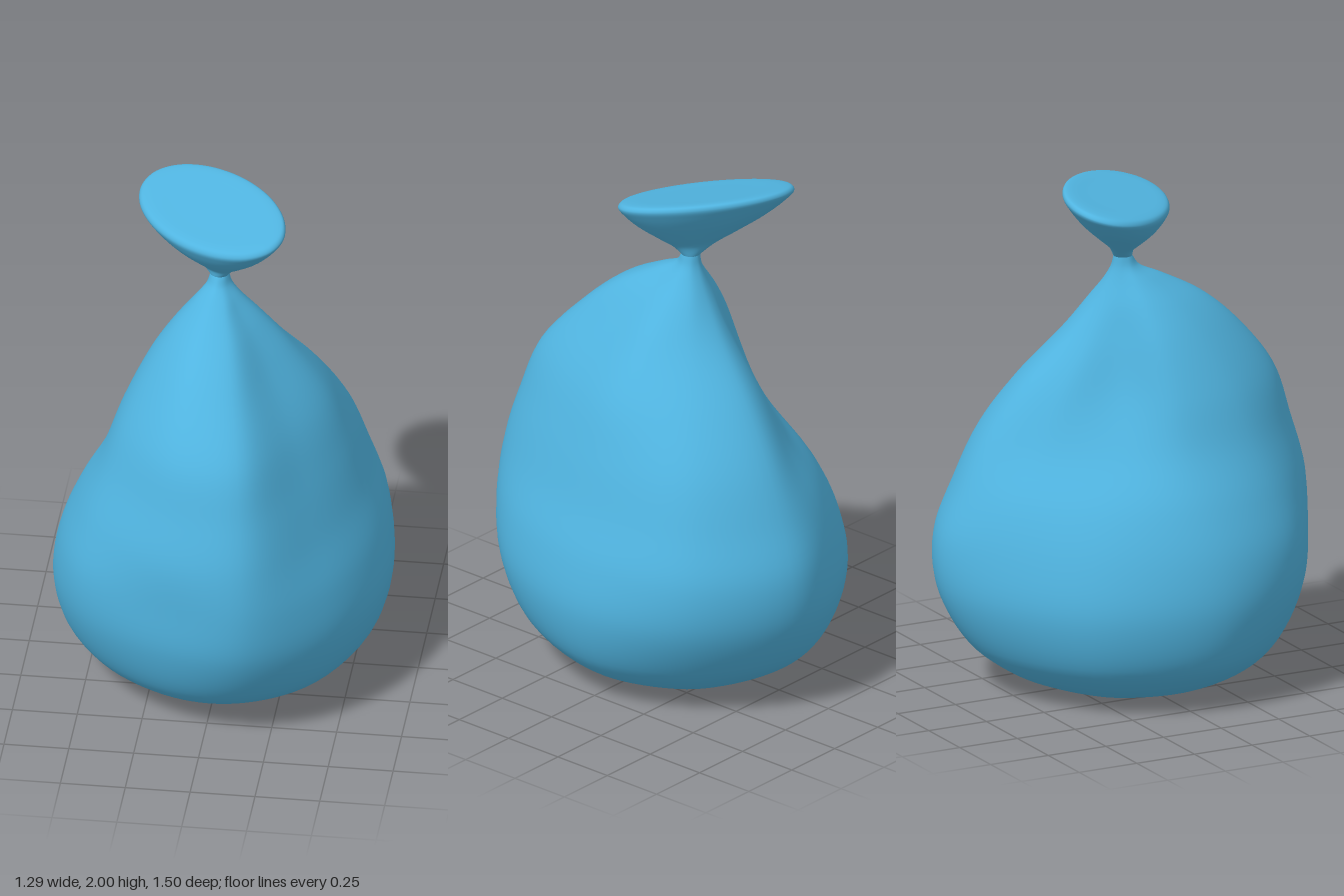
import * as THREE from 'three';

const COLS = 72;
const AXIS_X = -0.02, AXIS_Z = -0.035;

// Smooth skin through a stack of closed cross-sections, listed bottom to top
function skin(name, sections, material, steps = 6) {
  const loops = sections.map((pts) => {
    const curve = new THREE.CatmullRomCurve3(pts, true, 'centripetal');
    return Array.from({ length: COLS }, (_, i) => curve.getPoint(i / COLS));
  });
  const rows = (sections.length - 1) * steps;
  const position = [], index = [];
  const columns = Array.from({ length: COLS }, (_, i) =>
    new THREE.CatmullRomCurve3(loops.map((l) => l[i]), false, 'centripetal'));
  for (let r = 0; r <= rows; r++) {
    for (let i = 0; i < COLS; i++) {
      const p = columns[i].getPoint(r / rows);
      position.push(p.x, Math.max(0, p.y), p.z);
      if (r < rows) {
        const a = r * COLS + i, b = r * COLS + (i + 1) % COLS;
        index.push(a, a + COLS, b, b, a + COLS, b + COLS);
      }
    }
  }
  const geo = new THREE.BufferGeometry();
  geo.setAttribute('position', new THREE.Float32BufferAttribute(position, 3));
  geo.setIndex(index);
  geo.computeVertexNormals();
  const mesh = new THREE.Mesh(geo, material);
  mesh.name = name;
  return mesh;
}

export function createModel() {
  const group = new THREE.Group();
  group.name = 'tiedSack';
  const blue = new THREE.MeshStandardMaterial({ color: 0x50b4e0 });
  blue.name = 'sackBlue';

  // Sack body: height, then radii around the axis from +x through +z
  const angles = [0, 45, 75, 100, 135, 170, 215, 260, 285, 320];
  const even = (r) => angles.map(() => r);
  const body = [
    [0, even(0.001)],
    [0.003, even(0.2)],
    [0.03, [.37, .38, .38, .37, .36, .35, .33, .33, .35, .37]],
    [0.1, [.52, .54, .555, .54, .51, .49, .46, .47, .49, .50]],
    [0.2, [.61, .64, .67, .64, .60, .585, .55, .57, .61, .60]],
    [0.4, [.665, .71, .775, .72, .68, .635, .60, .645, .715, .70]],
    [0.6, [.64, .695, .80, .735, .69, .61, .565, .63, .725, .71]],
    [0.8, [.57, .625, .78, .73, .635, .53, .475, .56, .65, .645]],
    [1.0, [.505, .55, .72, .675, .55, .42, .325, .43, .55, .56]],
    [1.2, [.42, .455, .64, .61, .465, .34, .21, .31, .405, .42]],
    [1.4, [.275, .305, .46, .46, .335, .245, .14, .175, .215, .24]],
    [1.52, [.17, .20, .315, .325, .23, .165, .10, .105, .12, .145]],
    [1.61, [.085, .10, .155, .165, .12, .09, .06, .06, .065, .075]],
    [1.66, [.048, .05, .06, .065, .055, .05, .042, .042, .043, .047]],
    [1.7, even(0.036)],
  ].map(([y, radii]) => radii.map((r, i) => {
    const a = THREE.MathUtils.degToRad(angles[i]);
    return new THREE.Vector3(AXIS_X + r * Math.cos(a), y, AXIS_Z + r * Math.sin(a));
  }));
  group.add(skin('sackBody', body, blue));

  // Gathered top: a funnel opening from the neck into a tilted oval, closed by a soft cap
  const yaw = 0.655, cx = -0.055, cz = -0.083;
  const funnel = [
    [0, 1.7], [0.24, 1.738], [0.45, 1.783], [0.73, 1.845], [0.92, 1.9], [1, 1.934],
    [0.975, 1.95], [0.9, 1.957], [0.5, 1.958], [0.002, 1.958],
  ].map(([s, y], row) => Array.from({ length: 16 }, (_, i) => {
    const a = i / 16 * Math.PI * 2;
    if (row === 0) {
      return new THREE.Vector3(AXIS_X + 0.036 * Math.cos(a), y, AXIS_Z + 0.036 * Math.sin(a));
    }
    const u = 0.342 * s * Math.cos(a - yaw), v = 0.2 * s * Math.sin(a - yaw);
    const dx = u * Math.cos(yaw) - v * Math.sin(yaw);
    const dz = u * Math.sin(yaw) + v * Math.cos(yaw);
    const shift = row > 5 ? 1 : s;
    return new THREE.Vector3(
      THREE.MathUtils.lerp(AXIS_X, cx, shift) + dx,
      y + 0.11 * dx - 0.2 * dz,
      THREE.MathUtils.lerp(AXIS_Z, cz, shift) + dz);
  }));
  group.add(skin('gatheredTop', funnel, blue));

  return group;
}
